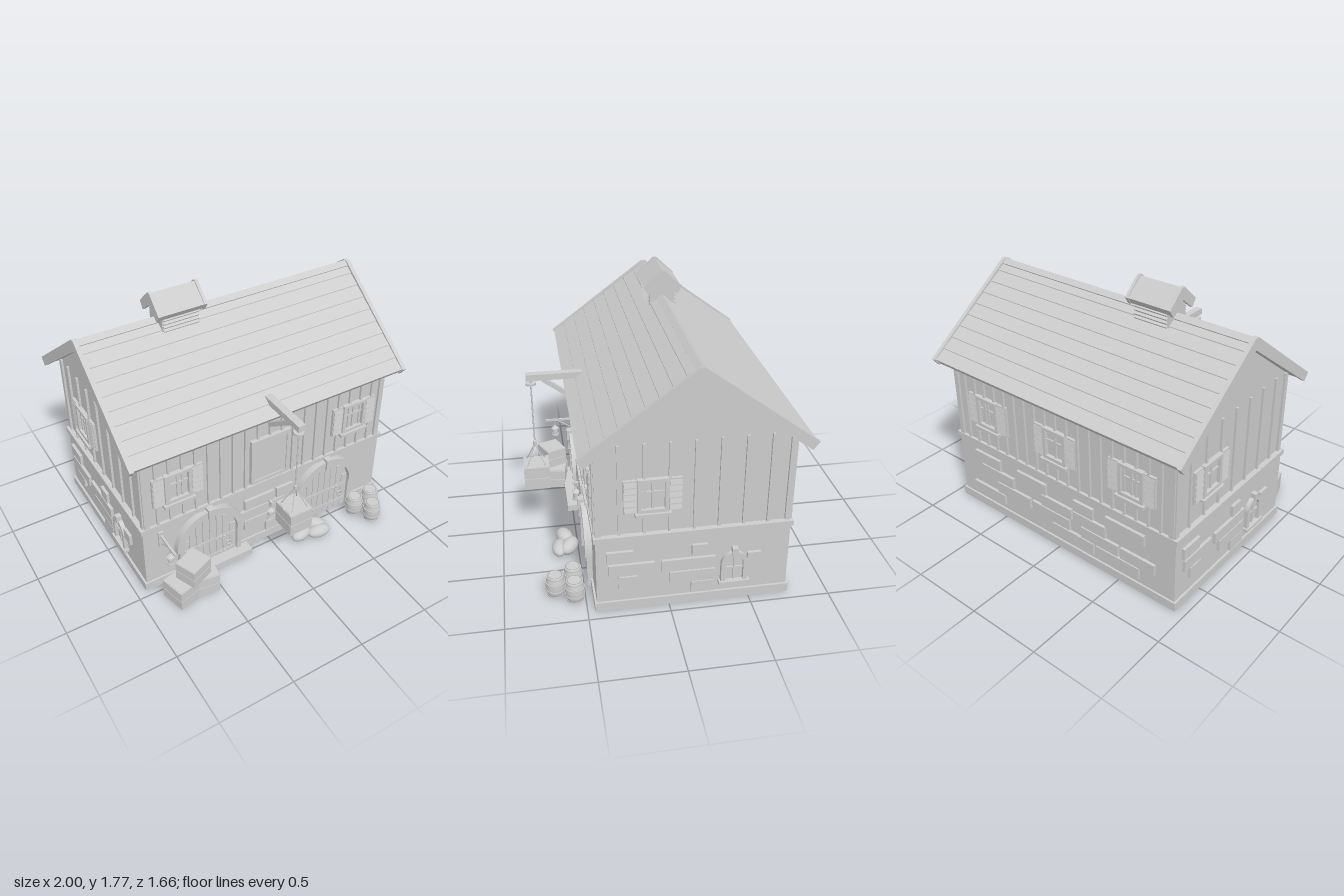
import * as THREE from 'three';

const grey = new THREE.MeshStandardMaterial({ color: 0xcccccc });
grey.name = 'plain grey';
const CZ = -0.15; // depth of the ridge line

function add(parent, name, geo, x = 0, y = 0, z = 0) {
  const m = new THREE.Mesh(geo, grey);
  m.name = name;
  m.position.set(x, y, z);
  parent.add(m);
  return m;
}
const box = (p, name, w, h, d, x, y, z) => add(p, name, new THREE.BoxGeometry(w, h, d), x, y, z);
const cyl = (p, name, r1, r2, h, x, y, z, n = 12) => add(p, name, new THREE.CylinderGeometry(r1, r2, h, n), x, y, z);
function group(parent, name, x = 0, y = 0, z = 0, ry = 0) {
  const g = new THREE.Group();
  g.name = name;
  g.position.set(x, y, z);
  g.rotation.y = ry;
  parent.add(g);
  return g;
}
const extrude = (shape, depth) => new THREE.ExtrudeGeometry(shape, { depth, bevelEnabled: false, curveSegments: 16 });

// Profile given as [z, y] points, run along x
function prism(parent, name, pts, width, x = 0) {
  const g = extrude(new THREE.Shape(pts.map(p => new THREE.Vector2(...p))), width);
  g.translate(0, 0, -width / 2).rotateY(-Math.PI / 2);
  return add(parent, name, g, x);
}
// Straight round bar between two points
function bar(parent, name, a, b, r) {
  const path = new THREE.LineCurve3(new THREE.Vector3(...a), new THREE.Vector3(...b));
  return add(parent, name, new THREE.TubeGeometry(path, 1, r, 6));
}
// Round-headed shape, solid or as an open band
function archShape(outer, inner, spring, bottom) {
  const s = new THREE.Shape();
  s.moveTo(-outer, bottom).lineTo(-outer, spring);
  s.absarc(0, spring, outer, Math.PI, 0, true);
  s.lineTo(outer, bottom);
  if (inner) {
    s.lineTo(inner, bottom).lineTo(inner, spring);
    s.absarc(0, spring, inner, 0, Math.PI, false);
    s.lineTo(-inner, bottom);
  }
  return s;
}

function shutteredWindow(wall, x) {
  const g = group(wall, 'window', x);
  const s = new THREE.Shape([[-.092, .675], [.092, .675], [.092, .9], [-.092, .9]].map(p => new THREE.Vector2(...p)));
  s.holes.push(new THREE.Path([[-.07, .7], [-.07, .88], [.07, .88], [.07, .7]].map(p => new THREE.Vector2(...p))));
  add(g, 'windowFrame', extrude(s, .03));
  box(g, 'pane', .15, .19, .006, 0, .79, .003);
  box(g, 'mullion', .014, .18, .016, 0, .79, .008);
  box(g, 'crossbar', .14, .012, .016, 0, .81, .008);
  box(g, 'sill', .215, .022, .045, 0, .667, .0225);
  for (const k of [-1, 1]) {
    box(g, 'shutter', .08, .22, .018, k * .133, .785, .009);
    for (let i = 0; i < 5; i++) box(g, 'shutterSlat', .072, .03, .012, k * .133, .702 + i * .042, .02).rotation.x = -.25;
  }
}

function archedWindow(wall, x) {
  const g = group(wall, 'archedWindow', x);
  add(g, 'archFrame', extrude(archShape(.083, .055, .265, .13), .028));
  add(g, 'pane', extrude(archShape(.06, 0, .265, .13), .006));
  box(g, 'mullion', .01, .185, .016, 0, .225, .008);
  box(g, 'crossbar', .11, .01, .016, 0, .23, .008);
  box(g, 'sill', .19, .022, .04, 0, .13, .02);
  box(g, 'keystone', .036, .05, .036, 0, .355, .018);
}

function archedDoor(wall, x) {
  const g = group(wall, 'archedDoor', x);
  add(g, 'doorArch', extrude(archShape(.25, .2, .25, .24), .045));
  add(g, 'doorJambs', extrude(archShape(.228, .2, .25, 0), .035));
  add(g, 'doorPanel', extrude(archShape(.202, 0, .25, 0), .008));
  for (let i = 0; i < 8; i++) {
    const px = -.175 + i * .05, h = .25 + Math.sqrt(Math.max(0, .04 - (Math.abs(px) + .022) ** 2));
    box(g, 'doorPlank', .046, h, .01, px, h / 2, .011);
  }
  for (const y of [.06, .2]) {
    box(g, 'strap', .38, .026, .006, 0, y, .018);
    for (const sx of [-.17, -.08, .08, .11]) add(g, 'stud', new THREE.SphereGeometry(.008, 8, 6), sx, y, .021);
  }
  add(g, 'ringHandle', new THREE.TorusGeometry(.018, .006, 6, 16), .14, .13, .026);
  box(g, 'keystone', .046, .075, .06, 0, .482, .03);
}

// Stones as [x0, x1, centre height]
function stones(wall, list) {
  for (const [a, b, y] of list) box(wall, 'stone', b - a, .08, .03, (a + b) / 2, y, .005);
}
function battens(wall, half, step, top) {
  for (let x = -half; x <= half + .001; x += step) box(wall, 'batten', .016, top - .52, .026, x, (top + .52) / 2, .002);
}

function crate(parent, name, w, h, d, x, y, z, ry = 0) {
  const g = group(parent, name, x, y, z, ry);
  box(g, 'crateBody', w - .012, h, d - .012, 0, h / 2, 0);
  for (const f of [.25, .75]) box(g, 'crateSlats', w, h * .47, d, 0, h * f, 0);
  return g;
}
function barrel(parent, x, z) {
  const g = group(parent, 'barrel', x, 0, z);
  const pts = [[0, 0], [.046, 0], [.056, .035], [.061, .075], [.056, .115], [.046, .15], [.04, .15], [.04, .142], [0, .142]];
  add(g, 'staves', new THREE.LatheGeometry(pts.map(p => new THREE.Vector2(...p)), 20));
  for (const [y, r] of [[.012, .053], [.05, .062], [.1, .062], [.138, .053]]) cyl(g, 'hoop', r, r, .011, 0, y, 0, 20);
}
function lantern(wall, x, y, arm) {
  const g = group(wall, 'lantern', x, y, 0);
  box(g, 'backPlate', .036, .12, .014, 0, -.03, .006);
  box(g, 'arm', .014, .014, arm, 0, 0, arm / 2);
  bar(g, 'armBrace', [0, -.07, .01], [0, 0, arm * .6], .005);
  const z = arm * .65;
  cyl(g, 'hanger', .004, .004, .06, 0, -.03, z, 6);
  cyl(g, 'lanternCap', .008, .03, .02, 0, -.06, z);
  cyl(g, 'lanternGlass', .022, .022, .05, 0, -.095, z);
  cyl(g, 'lanternBase', .028, .028, .01, 0, -.124, z);
}

// Both slopes of a roof, the second turned about the ridge
function bothSlopes(parent, build) {
  for (const ry of [0, Math.PI]) build(group(parent, 'roofSlope', 0, 0, CZ, ry));
}

export function createModel() {
  const model = new THREE.Group();
  model.name = 'storehouse';

  // Walls
  box(model, 'plinth', 1.87, .06, 1.21, 0, .03, CZ);
  box(model, 'stoneStorey', 1.84, .5, 1.184, 0, .25, CZ);
  box(model, 'beltCourse', 1.87, .034, 1.21, 0, .513, CZ);
  const gable = prism(model, 'timberStorey', [[-.585, .5], [.585, .5], [.585, 1.115], [0, 1.545], [-.585, 1.115]], 1.8);
  gable.position.z = CZ;

  // Four faces, each with its own x to the right and z outward
  const faces = [['front', 0, .592, .585, .9], ['right', Math.PI / 2, .92, .9, .585], ['back', Math.PI, .592, .585, .9], ['left', -Math.PI / 2, .92, .9, .585]];
  const wall = {};
  for (const [name, ry, low, high, half] of faces) {
    const at = (r, n) => group(model, name + n, Math.sin(ry) * r, 0, CZ + Math.cos(ry) * r, ry);
    wall[name] = { low: at(low, 'LowerWall'), high: at(high, 'UpperWall') };
    const side = half < .8;
    battens(wall[name].high, side ? .45 : .81, side ? .15 : .09, side ? 1.125 : 1.11);
    for (const k of [-1, 1]) box(wall[name].high, 'cornerPost', .035, .6, .026, k * (half - .012), .815, .002);
  }
  for (const x of [-.665, .665]) shutteredWindow(wall.front.high, x);
  for (const x of [-.6, 0, .6]) shutteredWindow(wall.back.high, x);
  for (const n of ['right', 'left']) {
    shutteredWindow(wall[n].high, -.25);
    archedWindow(wall[n].low, .25);
    stones(wall[n].low, [[-.53, -.37, .385], [-.52, -.24, .29], [-.46, -.345, .2], [-.015, .08, .385], [-.2, .13, .29],
      [-.15, .13, .2], [-.015, .13, .115], [.33, .415, .29]]);
  }
  stones(wall.front.low, [[-.19, .04, .38], [.06, .19, .38], [-.22, .12, .29], [-.19, 0, .2], [.02, .2, .2], [-.02, .14, .115]]);
  stones(wall.back.low, [[-.76, -.52, .41], [-.36, -.1, .41], [.14, .3, .41], [.4, .7, .41],
    [-.7, -.4, .32], [-.14, .12, .32], [.14, .4, .32], [-.56, -.25, .23], [-.23, .1, .23], [.2, .5, .23], [.52, .78, .23],
    [-.8, -.5, .14], [-.05, .3, .14], [.32, .66, .14]]);

  // Doors
  for (const x of [-.46, .46]) archedDoor(wall.front.low, x);
  box(model, 'doorStep', .55, .045, .11, -.45, .0225, .48);
  const loft = group(wall.front.high, 'loftDoor');
  box(loft, 'loftPanel', .29, .35, .016, 0, .725, .012);
  for (const k of [-1, 1]) {
    box(loft, 'loftStile', .025, .35, .028, k * .133, .725, .014);
    box(loft, 'loftRail', .29, .025, .028, 0, .725 + k * .163, .014);
  }
  box(loft, 'loftBrace', .022, .38, .01, 0, .725, .022).rotation.z = .65;
  lantern(wall.front.low, -.8, .43, .2);
  lantern(wall.front.low, 0, .345, .06);

  // Main roof with stepped boards and gable trim
  const roof = group(model, 'roof');
  bothSlopes(roof, g => {
    const pts = [[0, 1.54], [.65, 1.06]];
    for (let i = 9; i > 0; i--) {
      pts.push([.68 * i / 9, 1.595 - .495 * i / 9]);
      pts.push([.68 * (i - 1) / 9, 1.589 - .495 * (i - 1) / 9]);
    }
    prism(g, 'roofBoards', pts, 1.96);
    for (const k of [-1, 1]) prism(g, 'bargeboard', [[0, 1.525], [.652, 1.05], [.69, 1.1], [.01, 1.605], [-.02, 1.585]], .028, k * .986);
    prism(g, 'ridgeBoard', [[0, 1.58], [.03, 1.565], [.035, 1.575], [0, 1.602]], 1.95);
  });

  // Ridge vent
  const vent = group(model, 'ridgeVent', -.335);
  prism(vent, 'ventBody', [[-.083, 1.46], [.083, 1.46], [.083, 1.64], [0, 1.71], [-.083, 1.64]], .25).position.z = CZ;
  bothSlopes(vent, g => {
    prism(g, 'ventRoof', [[0, 1.7], [.095, 1.62], [.122, 1.66], [0, 1.765]], .3);
    for (const k of [-1, 1]) prism(g, 'ventTrim', [[0, 1.69], [.094, 1.612], [.127, 1.662], [.008, 1.772], [-.015, 1.755]], .02, k * .155);
    for (let i = 0; i < 4; i++) box(g, 'ventSlat', .24, .008, .028, 0, 1.54 + i * .025, .085).rotation.x = .45;
  });

  // Hoist
  const hoist = group(model, 'hoist');
  box(hoist, 'hoistBeam', .05, .042, .36, 0, 1.168, .59);
  const brace = box(hoist, 'hoistBrace', .028, .028, .28, 0, 1.062, .55);
  brace.rotation.x = -.64;
  cyl(hoist, 'pulley', .034, .034, .014, 0, 1.12, .74, 16);
  cyl(hoist, 'pulleyPin', .008, .008, .06, 0, 1.13, .74, 8);
  cyl(hoist, 'rope', .005, .005, .42, 0, .9, .74, 6);
  add(hoist, 'hook', new THREE.CapsuleGeometry(.012, .02, 4, 8), 0, .685, .74);
  crate(hoist, 'hangingCrate', .165, .165, .17, 0, .372, .74);
  for (const x of [-1, 1]) for (const z of [-1, 1]) bar(hoist, 'sling', [0, .68, .74], [x * .06, .535, .74 + z * .06], .004);

  // Goods by the doors
  const goods = group(model, 'goods');
  crate(goods, 'crateLeft', .21, .145, .17, -.73, 0, .605, .25);
  crate(goods, 'crateRight', .17, .145, .17, -.595, 0, .6, -.15);
  crate(goods, 'crateTop', .17, .135, .15, -.665, .145, .61, .4);
  for (const [x, z] of [[.66, .565], [.8, .565], [.73, .68]]) barrel(goods, x, z);
  for (const [x, z, ry, y] of [[.19, .585, .3, .045], [.31, .56, -.5, .05], [.31, .625, -.1, .042]]) {
    const s = add(goods, 'sack', new THREE.SphereGeometry(1, 18, 12), x, y, z);
    s.scale.set(.085, y, .052);
    s.rotation.y = ry;
  }
  return model;
}
